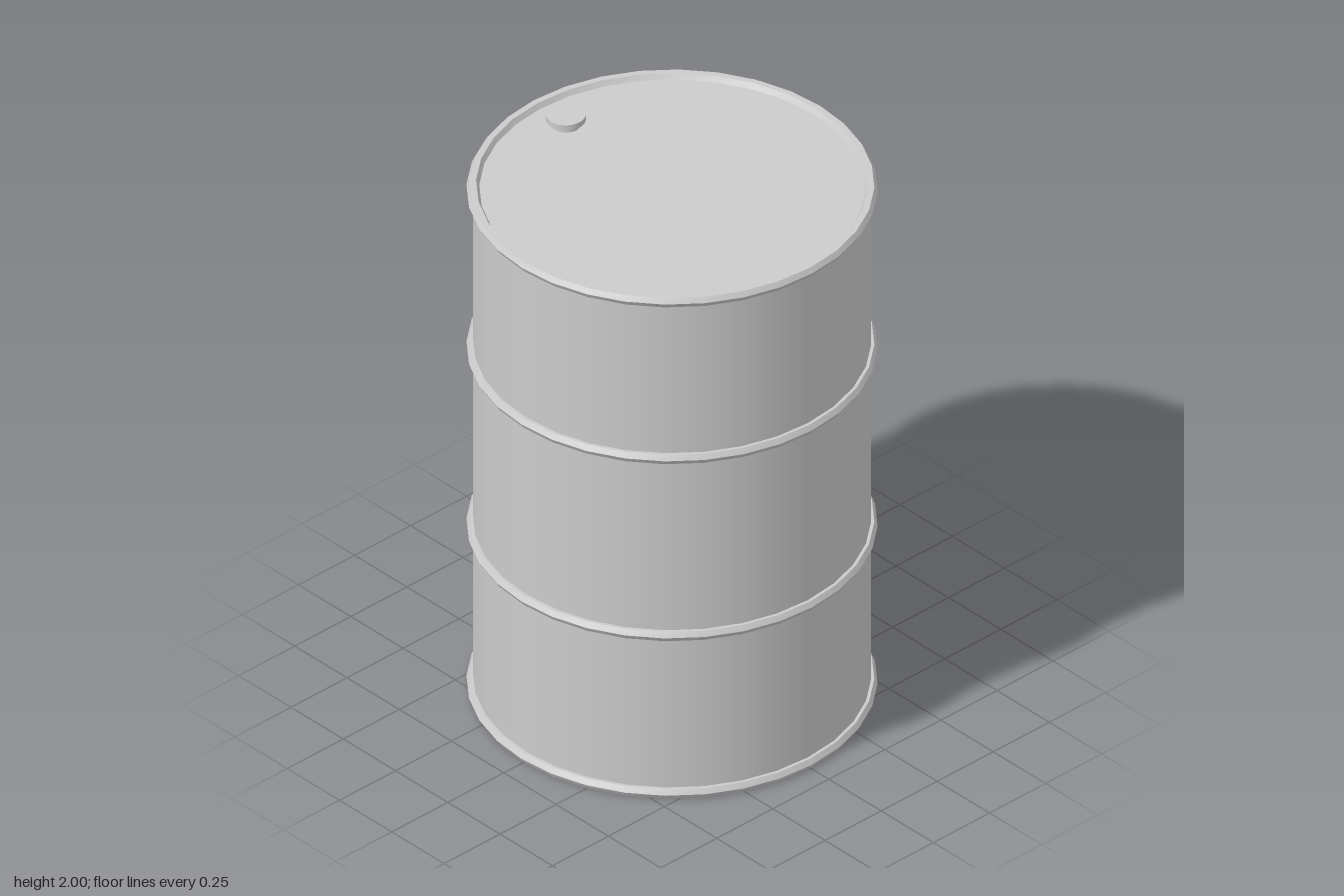
import * as THREE from 'three';
import { toCreasedNormals } from 'three/addons/utils/BufferGeometryUtils.js';

const SIDES = 32;
const RADIUS = 0.65;
const BASE = 0.018; // bottom plate, inside the lower rim
const LID = 1.96; // top plate, inside the upper rim

export function createModel() {
  const group = new THREE.Group();
  const material = new THREE.MeshStandardMaterial({ color: 0xcccccc });

  const add = (name, geometry, x, y) => {
    const mesh = new THREE.Mesh(geometry, material);
    mesh.name = name;
    mesh.position.set(x, y, 0);
    group.add(mesh);
  };

  // Drum wall with its top and bottom plates
  add('body', new THREE.CylinderGeometry(RADIUS, RADIUS, LID - BASE, SIDES), 0, (LID + BASE) / 2);

  // Rims and rolling hoops: six-sided section, smooth around the drum
  const hoop = toCreasedNormals(
    new THREE.TorusGeometry(RADIUS, 0.021, 6, SIDES).rotateX(Math.PI / 2), 0.6);
  const hoops = { bottomRim: BASE, lowerHoop: 0.64, upperHoop: 1.34, topRim: LID };
  for (const [name, y] of Object.entries(hoops)) add(name, hoop, 0, y);

  // Filler plug: a narrow neck under a wider cap
  add('plugNeck', new THREE.CylinderGeometry(0.05, 0.05, 0.03, SIDES), -0.508, 1.97);
  add('plugCap', new THREE.CylinderGeometry(0.066, 0.066, 0.02, SIDES), -0.508, 1.99);

  return group;
}
